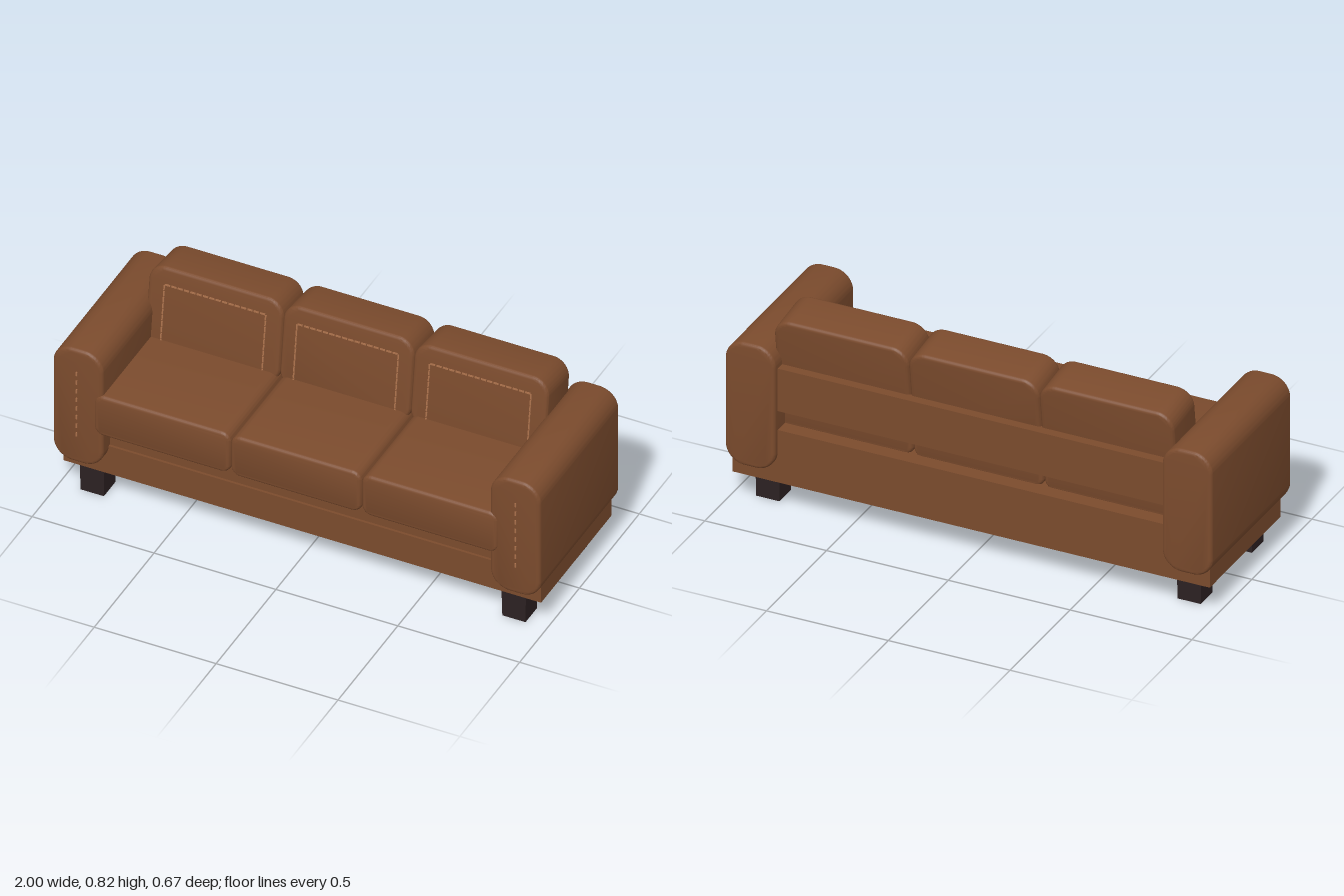
import * as THREE from 'three';
import { toCreasedNormals } from 'three/addons/utils/BufferGeometryUtils.js';

const leather = new THREE.MeshStandardMaterial({ color: 0x7b4b2d });
leather.name = 'brown leather';
const thread = new THREE.MeshStandardMaterial({ color: 0xa86f4a });
thread.name = 'tan thread';
const darkWood = new THREE.MeshStandardMaterial({ color: 0x2c2122 });
darkWood.name = 'dark wood';

function add(parent, name, geometry, material, x, y, z) {
  const mesh = new THREE.Mesh(geometry, material);
  mesh.name = name;
  mesh.position.set(x, y, z);
  parent.add(mesh);
  return mesh;
}

// Rounded rectangle extruded along z with a small soft bevel, centred on the origin
function padded(w, h, d, r, bevel = 0.014) {
  const s = new THREE.Shape();
  const x = w / 2 - r, y = h / 2 - r;
  s.absarc(x, y, r, 0, Math.PI / 2);
  s.absarc(-x, y, r, Math.PI / 2, Math.PI);
  s.absarc(-x, -y, r, Math.PI, Math.PI * 1.5);
  s.absarc(x, -y, r, Math.PI * 1.5, Math.PI * 2);
  s.closePath();
  const geo = new THREE.ExtrudeGeometry(s, {
    depth: d - 2 * bevel, bevelEnabled: true, bevelThickness: bevel,
    bevelSize: bevel, bevelOffset: -bevel, bevelSegments: 4, curveSegments: 10,
  });
  geo.translate(0, 0, -d / 2 + bevel);
  return toCreasedNormals(geo, 0.6);
}

// Row of thin stitches between two points on a plane facing +z
function stitches(parent, name, x0, y0, x1, y1, z, pitch, length) {
  const total = Math.hypot(x1 - x0, y1 - y0);
  const count = Math.round(total / pitch);
  const across = Math.abs(x1 - x0) > Math.abs(y1 - y0);
  const geo = new THREE.BoxGeometry(across ? length : 0.006, across ? 0.006 : length, 0.008);
  for (let i = 0; i < count; i++) {
    const t = (i + 0.5) / count;
    add(parent, name, geo, thread, x0 + (x1 - x0) * t, y0 + (y1 - y0) * t, z);
  }
}

export function createModel() {
  const sofa = new THREE.Group();
  sofa.name = 'sofa';

  // Plinth, seat deck and low back rail
  add(sofa, 'base', new THREE.BoxGeometry(1.96, 0.128, 0.59), leather, 0, 0.182, -0.015);
  add(sofa, 'seatDeck', new THREE.BoxGeometry(1.64, 0.095, 0.58), leather, 0, 0.2925, -0.02);
  add(sofa, 'backRail', new THREE.BoxGeometry(1.64, 0.18, 0.08), leather, 0, 0.51, -0.27);

  // Arms with front stitching, and tapered legs
  const armGeo = padded(0.206, 0.52, 0.665, 0.08);
  const legGeo = new THREE.CylinderGeometry(0.0707, 0.0675, 0.12, 4, 1).toNonIndexed();
  legGeo.rotateY(Math.PI / 4);
  legGeo.computeVertexNormals();
  for (const side of [-1, 1]) {
    add(sofa, side > 0 ? 'leftArm' : 'rightArm', armGeo, leather, side * 0.897, 0.428, -0.0025);
    stitches(sofa, 'armStitch', side * 0.9, 0.28, side * 0.9, 0.6, 0.33, 0.04, 0.018);
    for (const z of [0.225, -0.2]) add(sofa, 'leg', legGeo, darkWood, side * 0.865, 0.06, z);
  }

  // Three seat cushions and three reclined back cushions
  const seatY = 0.42, lean = -0.13, backH = 0.36, backD = 0.187;
  for (const i of [-1, 0, 1]) {
    const seatW = i ? 0.56 : 0.536;
    add(sofa, 'seatCushion', padded(seatW, 0.182, 0.586, 0.04), leather, i * 0.549, seatY, 0.043);

    const back = new THREE.Group();
    back.name = 'backCushion';
    back.position.set(i * 0.544, 0.628, -0.182);
    back.rotation.x = lean;
    sofa.add(back);
    add(back, 'backPad', padded(i ? 0.552 : 0.536, backH, backD, 0.07), leather, 0, 0, 0);

    // Stitched panel outline on the front of the pad
    const hw = 0.208, top = 0.108, z = backD / 2;
    stitches(back, 'panelStitch', -hw, top, hw, top, z, 0.026, 0.021);
    for (const s of [-1, 1]) {
      stitches(back, 'panelStitch', s * hw, -0.15, s * hw, top, z, 0.026, 0.021);
    }
  }
  return sofa;
}
